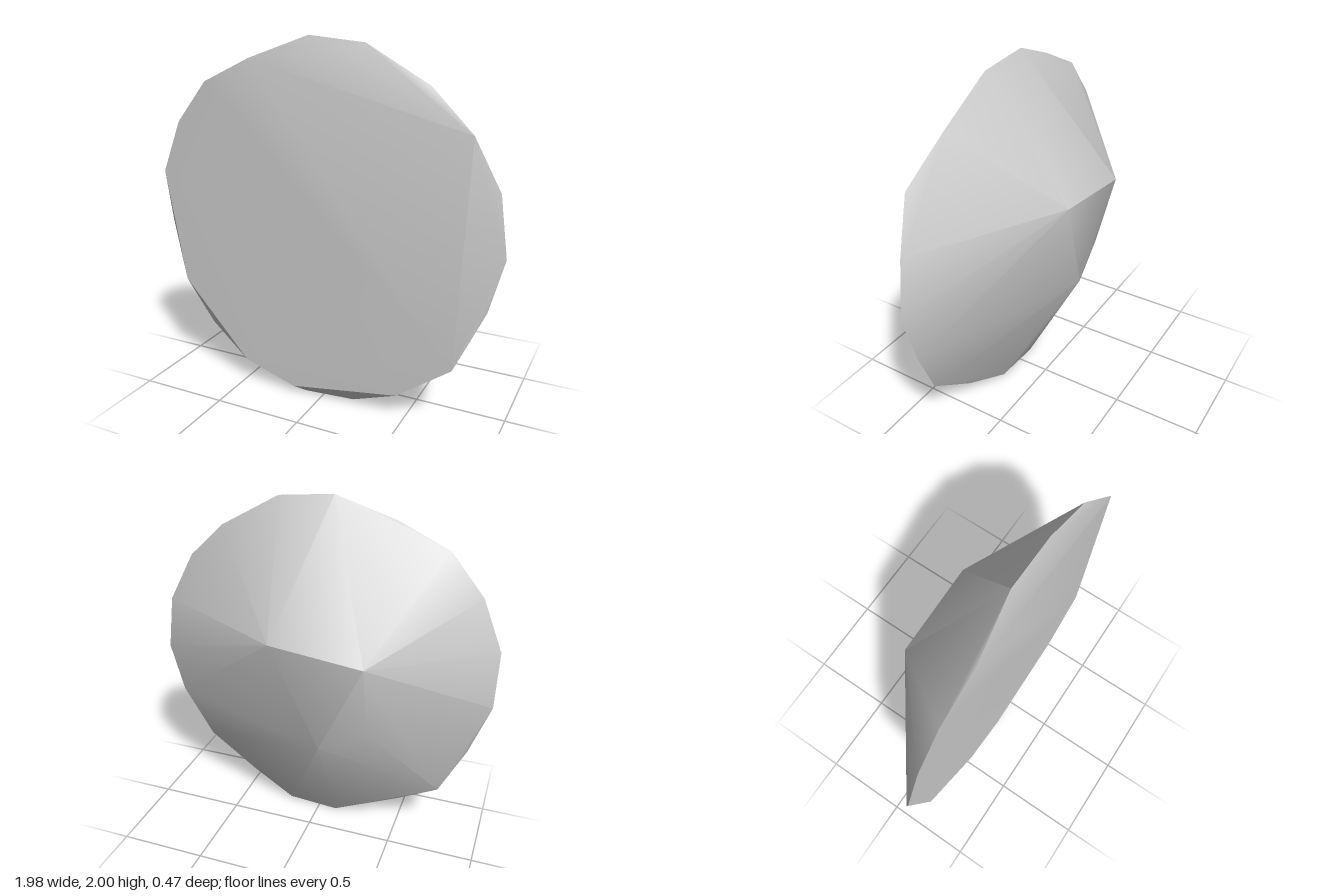
import * as THREE from 'three';
import { ConvexGeometry } from 'three/addons/geometries/ConvexGeometry.js';
import { toCreasedNormals } from 'three/addons/utils/BufferGeometryUtils.js';

const FACE = 0.236; // flat front plane
const RIM = 0.187;  // rim corners set back from the front plane

// Corners of the flat front face: x, y
const faceCorners = [
  [0.81, 1.57], [0.76, 0.36], [0.46, 0.14], [-0.17, 0.04], [-0.48, 0.14],
  [-0.88, 0.58], [-0.99, 1.23], [-0.87, 1.52], [-0.68, 1.75], [-0.40, 1.88],
];

// Corners of the bevelled rim: x, y
const rimCorners = [
  [-0.07, 2.00], [0.24, 1.97], [0.58, 1.78], [0.94, 1.30], [0.985, 0.98],
  [0.91, 0.69], [0.19, 0.02], [-0.11, 0.0], [-0.74, 0.31], [-0.99, 0.92],
];

// Peaks of the faceted back: x, y, z
const backPeaks = [
  [0.15, 1.30, -0.23], [-0.37, 1.245, -0.236],
  [-0.11, 0.68, -0.165], [-0.37, 0.80, -0.125],
];

export function createModel() {
  const group = new THREE.Group();
  group.name = 'facetedDisc';

  const grey = new THREE.MeshStandardMaterial({ color: 0xcccccc });
  grey.name = 'light grey';

  const points = [
    ...faceCorners.map(([x, y]) => new THREE.Vector3(x, y, FACE)),
    ...rimCorners.map(([x, y]) => new THREE.Vector3(x, y, RIM)),
    ...backPeaks.map((p) => new THREE.Vector3(...p)),
  ];

  // Soft shading across shallow facets, sharp at the steep ones
  const shell = new THREE.Mesh(toCreasedNormals(new ConvexGeometry(points), 0.55), grey);
  shell.name = 'shell';
  group.add(shell);
  return group;
}
